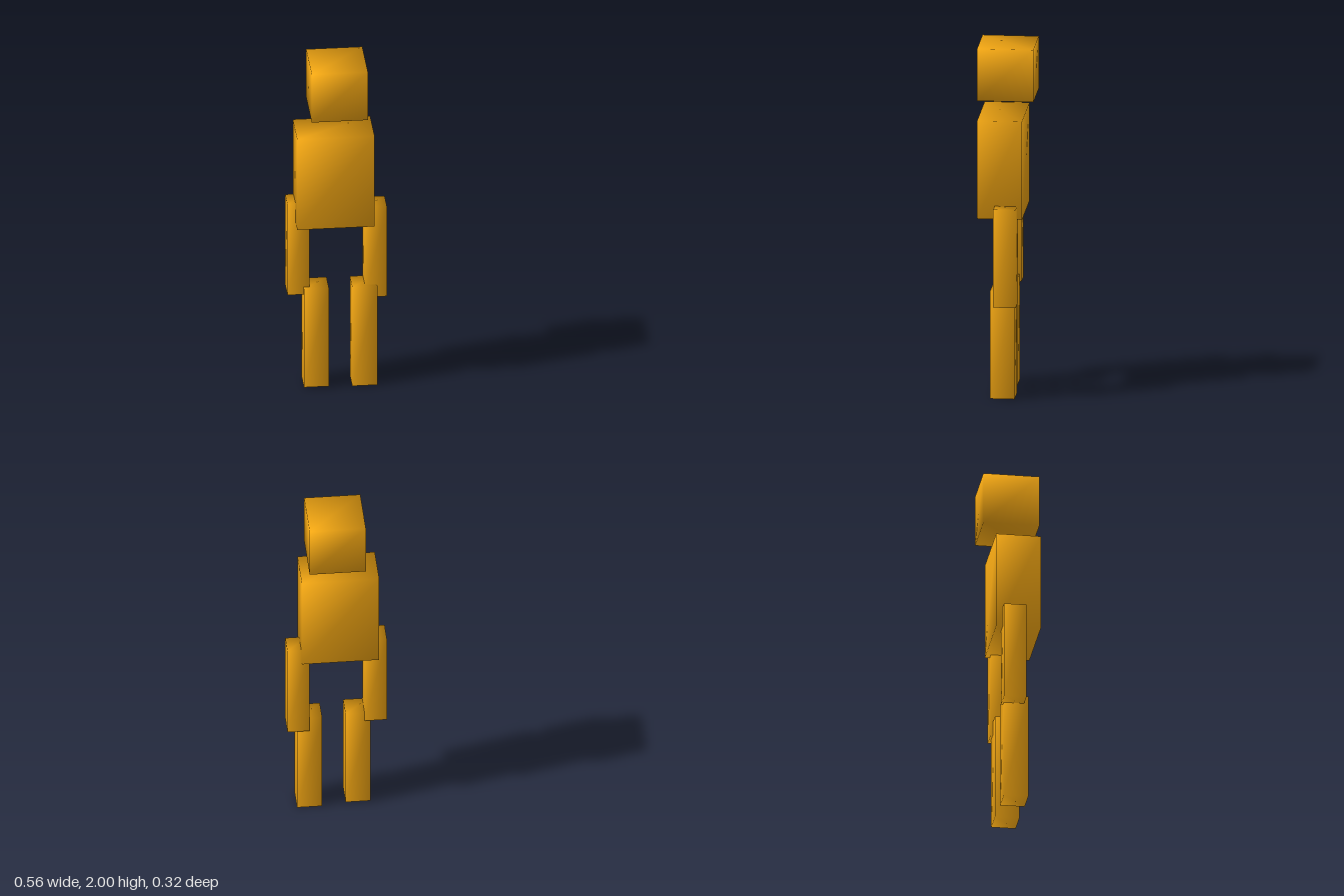
import * as THREE from 'three';
import { mergeVertices } from 'three/addons/utils/BufferGeometryUtils.js';

const material = new THREE.MeshStandardMaterial({ color: 0xf5a813 });

// Box between two corners, with shared corners so the shading is smooth
function block(name, min, max) {
  const size = max.map((v, i) => v - min[i]);
  const box = new THREE.BoxGeometry(...size);
  box.deleteAttribute('uv');
  box.deleteAttribute('normal');
  const geometry = mergeVertices(box);
  geometry.computeVertexNormals();
  const mesh = new THREE.Mesh(geometry, material);
  mesh.name = name;
  mesh.position.set(...max.map((v, i) => (v + min[i]) / 2));
  return mesh;
}

export function createModel() {
  const figure = new THREE.Group();
  figure.name = 'blockFigure';
  figure.add(
    // Floating head above the torso
    block('head', [-0.153, 1.70, -0.16], [0.162, 2.0, 0.156]),
    block('torso', [-0.234, 1.03, -0.10], [0.2, 1.595, 0.152]),
    // Arms hang at slightly different heights
    block('rightArm', [-0.28, 0.58, -0.062], [-0.157, 1.147, 0.064]),
    block('leftArm', [0.155, 0.54, -0.072], [0.278, 1.105, 0.054]),
    // Legs, detached from the torso
    block('rightLeg', [-0.19, 0.01, -0.05], [-0.05, 0.625, 0.088]),
    block('leftLeg', [0.082, 0, -0.06], [0.223, 0.618, 0.078]),
  );
  return figure;
}
